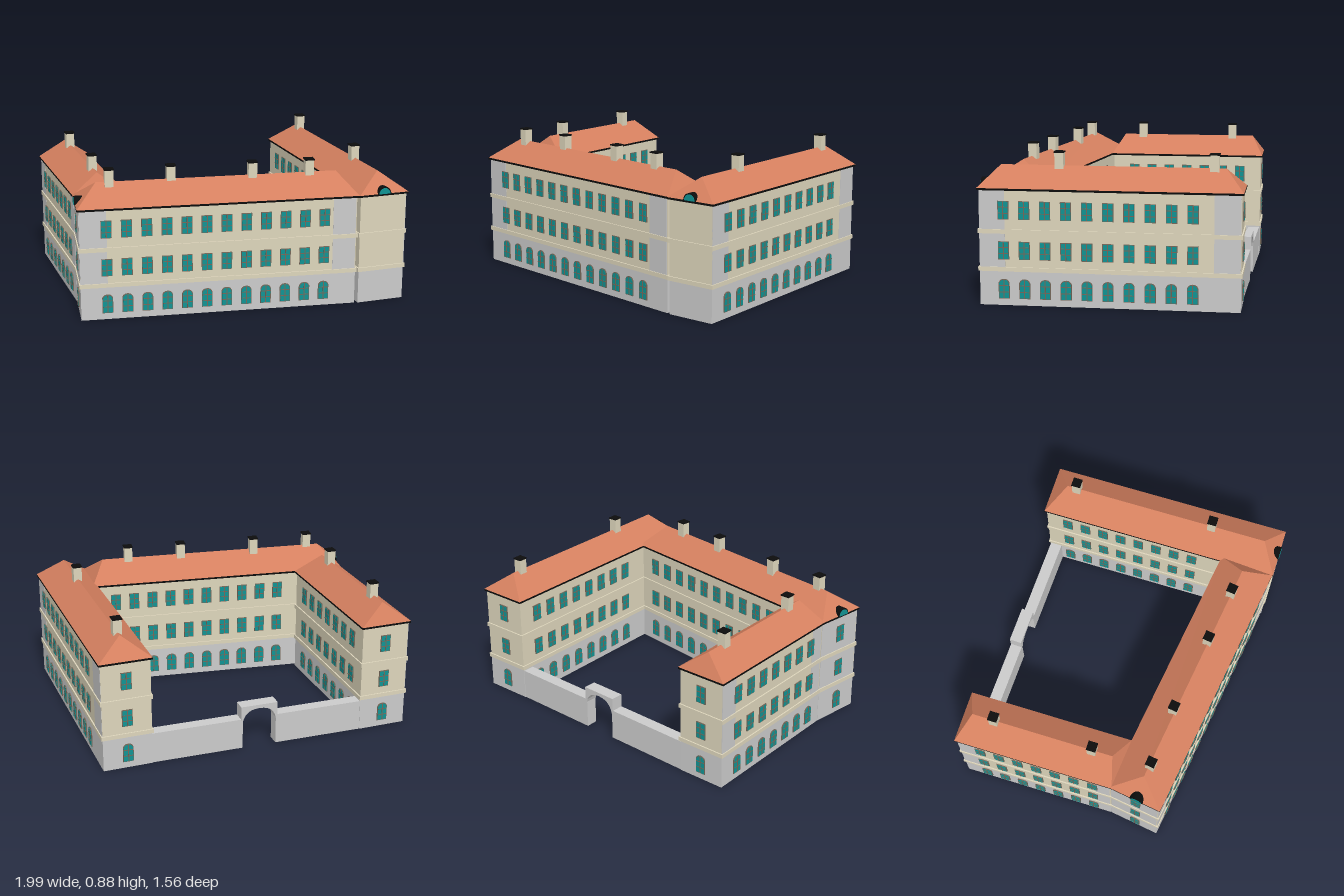
import * as THREE from 'three';
import { mergeGeometries } from 'three/addons/utils/BufferGeometryUtils.js';

const mat = (color) => new THREE.MeshStandardMaterial({ color, flatShading: true });
const GREY = mat(0xcccccc), WALL = mat(0xded6bc), ROOF = mat(0xd5805f);
const BLACK = mat(0x0c0c0c), GLASS = mat(0x109494), FRAME = mat(0x75685a);

const WALL_TOP = 0.67, EAVES = 0.682, RIDGE = 0.8;
const ROWS = [[0.04, 0.155, true], [0.27, 0.375, false], [0.503, 0.61, false]];

function add(parent, name, geo, material) {
  const m = new THREE.Mesh(geo, material);
  m.name = name;
  parent.add(m);
  return m;
}

function box(w, h, d, x, y, z) {
  return new THREE.BoxGeometry(w, h, d).translate(x, y, z);
}

// Upright prism over a plan outline of [x, z] corners
function prism(plan, y0, y1) {
  const shape = new THREE.Shape(plan.map(([x, z]) => new THREE.Vector2(x, -z)));
  return new THREE.ExtrudeGeometry(shape, { depth: y1 - y0, bevelEnabled: false })
    .rotateX(-Math.PI / 2).translate(0, y0, 0);
}

// Move every edge of a convex plan outward by d
function grow(plan, d) {
  const n = plan.length;
  const normal = (i) => {
    const [a, b] = [plan[i], plan[(i + 1) % n]];
    const l = Math.hypot(b[0] - a[0], b[1] - a[1]);
    return [-(b[1] - a[1]) / l, (b[0] - a[0]) / l];
  };
  return plan.map(([x, z], i) => {
    const p = normal((i + n - 1) % n), q = normal(i);
    const k = d / (1 + p[0] * q[0] + p[1] * q[1]);
    return [x + k * (p[0] + q[0]), z + k * (p[1] + q[1])];
  });
}

// Hip roof over four corners (SW, SE, NE, NW) and a two-point ridge
function hipRoof(plan, ridge, alongX) {
  const [sw, se, ne, nw] = plan.map(([x, z]) => [x, EAVES, z]);
  const [p, q] = ridge.map(([x, z]) => [x, RIDGE, z]);
  // alongX: p west, q east; otherwise p north, q south
  const faces = alongX
    ? [[sw, se, q, p], [se, ne, q], [ne, nw, p, q], [nw, sw, p]]
    : [[sw, se, q], [se, ne, p, q], [ne, nw, p], [nw, sw, q, p]];
  const pos = [];
  for (const f of faces)
    for (let i = 1; i < f.length - 1; i++) pos.push(...f[0], ...f[i], ...f[i + 1]);
  const geo = new THREE.BufferGeometry();
  geo.setAttribute('position', new THREE.Float32BufferAttribute(pos, 3));
  geo.computeVertexNormals();
  return geo;
}

// Window pane outline, with a segmental head if arched
function pane(x, y0, y1, w, arched, depth) {
  const s = new THREE.Shape();
  const h = w / 2, spring = arched ? y1 - 0.022 : y1;
  s.moveTo(x - h, y0);
  s.lineTo(x + h, y0);
  s.lineTo(x + h, spring);
  if (arched) s.quadraticCurveTo(x + h * 0.8, y1, x, y1).quadraticCurveTo(x - h * 0.8, y1, x - h, spring);
  else s.lineTo(x - h, spring);
  return new THREE.ExtrudeGeometry(s, { depth, bevelEnabled: false, curveSegments: 3 });
}

// Windows and grey end panels on the wall from a to b (left to right seen from outside)
function facade(parent, name, a, b, { start, step = 0.12, count, panels = [] }) {
  const g = new THREE.Group();
  g.name = name;
  g.position.set(a[0], 0, a[1]);
  g.rotation.y = Math.atan2(a[1] - b[1], b[0] - a[0]);
  parent.add(g);
  const frames = [], glass = [];
  for (let i = 0; i < count; i++) {
    const x = start + i * step;
    for (const [y0, y1, arched] of ROWS) {
      frames.push(pane(x, y0, y1, 0.064, arched, 0.006));
      glass.push(pane(x, y0 + 0.004, y1 - 0.004, 0.056, arched, 0.008));
      const h = y1 - y0;
      frames.push(box(0.006, h - 0.008, 0.01, x, (y0 + y1) / 2, 0.005).toNonIndexed());
      for (const t of [0.34, 0.67])
        frames.push(box(0.056, 0.005, 0.01, x, y0 + h * t, 0.005).toNonIndexed());
    }
  }
  add(g, 'windowFrames', mergeGeometries(frames), FRAME);
  add(g, 'windowGlass', mergeGeometries(glass), GLASS);
  for (const [s0, s1] of panels)
    add(g, 'cornerPanel', box(s1 - s0, WALL_TOP - 0.2, 0.004, (s0 + s1) / 2, (WALL_TOP + 0.2) / 2, 0), GREY);
}

// One range: plinth storey, upper storeys, bands, eaves and roof
function wing(parent, name, eaves, ridge, alongX) {
  const g = new THREE.Group();
  g.name = name;
  parent.add(g);
  const walls = grow(eaves, -0.011);
  add(g, 'groundStorey', prism(walls, 0, 0.2), GREY);
  add(g, 'upperStoreys', prism(walls, 0.2, WALL_TOP), WALL);
  for (const y of [0.2, 0.42]) add(g, 'stringCourse', prism(grow(walls, 0.008), y, y + 0.025), WALL);
  add(g, 'eaves', prism(eaves, WALL_TOP, EAVES), BLACK);
  add(g, 'roof', hipRoof(eaves, ridge, alongX), ROOF);
  return { g, walls };
}

// Half-round dormer facing along angle
function dormer(parent, x, z, angle) {
  const g = new THREE.Group();
  g.name = 'dormer';
  g.position.set(x, EAVES, z);
  g.rotation.y = angle;
  parent.add(g);
  const half = (r, d) => new THREE.ExtrudeGeometry(
    new THREE.Shape().absarc(0, 0, r, 0, Math.PI), { depth: d, bevelEnabled: false, curveSegments: 8 });
  add(g, 'dormerHood', half(0.043, 0.07).translate(0, 0, -0.07), BLACK);
  add(g, 'dormerGlass', half(0.036, 0.003), GLASS);
}

export function createModel() {
  const root = new THREE.Group();
  root.name = 'courtyardBuilding';

  // Three ranges around the courtyard
  const south = wing(root, 'southRange',
    [[-1, 0.53], [0.67, 0.77], [0.7, 0.43], [-0.95, 0.195]], [[-0.85, 0.385], [0.59, 0.585]], true);
  const east = wing(root, 'eastRange',
    [[0.67, 0.775], [0.99, 0.775], [0.99, -0.75], [0.67, -0.75]], [[0.83, -0.64], [0.83, 0.665]], false);
  const west = wing(root, 'westRange',
    [[-0.952, 0.215], [-0.63, 0.24], [-0.63, -0.783], [-0.952, -0.783]], [[-0.79, -0.71], [-0.79, 0.17]], false);

  // Facades
  const [s0, s1, s2, s3] = south.walls;
  facade(south.g, 'streetFront', s0, s1, { start: 0.157, step: 0.119, count: 12, panels: [[0, 0.16], [1.52, 1.66]] });
  facade(south.g, 'courtFront', s2, s3, { start: 0.135, count: 10 });
  facade(south.g, 'endFront', s3, s0, { start: 0.165, count: 1, panels: [[0, 0.31]] });
  const [e0, e1, e2, e3] = east.walls;
  facade(east.g, 'outerFront', e1, e2, { start: 0.142, step: 0.121, count: 10, panels: [[0, 0.15], [1.35, 1.5]] });
  facade(east.g, 'endFront', e2, e3, { start: 0.15, count: 1 });
  facade(east.g, 'courtFront', e3, e0, { start: 0.14, count: 8 });
  const [, w1, w2, w3] = west.walls;
  facade(west.g, 'courtFront', w1, w2, { start: 0.14, count: 7 });
  facade(west.g, 'endFront', w2, w3, { start: 0.15, count: 1 });
  facade(west.g, 'outerFront', w3, west.walls[0], { start: 0.14, count: 7, panels: [[0, 0.12], [0.88, 0.97]] });

  // Roof dormers
  dormer(root, 0.83, 0.778, 0);
  dormer(root, -0.982, 0.375, -1.72);

  // Chimneys: x, z, turn
  const turn = -0.143;
  for (const [x, z, r] of [[-0.79, -0.57, 0], [-0.79, 0.045, 0], [0.83, -0.575, 0], [0.83, 0.32, 0],
    [-0.775, 0.405, turn], [-0.405, 0.435, turn], [0.08, 0.51, turn], [0.425, 0.56, turn]]) {
    const c = new THREE.Group();
    c.name = 'chimney';
    c.position.set(x, 0, z);
    c.rotation.y = r;
    add(c, 'stack', box(0.052, 0.145, 0.052, 0, 0.8025, 0), WALL);
    add(c, 'cap', box(0.058, 0.008, 0.058, 0, 0.879, 0), BLACK);
    root.add(c);
  }

  // Courtyard wall with arched gate
  const yard = new THREE.Group();
  yard.name = 'courtyardWall';
  root.add(yard);
  const zAt = (x) => -0.732 + (x + 0.63) * 0.026;
  const wallPart = (a, b) => add(yard, 'wall', prism(
    [[a, zAt(a) + 0.037], [b, zAt(b) + 0.037], [b, zAt(b) - 0.037], [a, zAt(a) - 0.037]], 0, 0.19), GREY);
  wallPart(-0.66, -0.09);
  wallPart(0.12, 0.7);
  const arch = new THREE.Shape();
  arch.moveTo(-0.115, 0.17);
  arch.lineTo(-0.105, 0.17);
  arch.quadraticCurveTo(-0.09, 0.25, 0, 0.25).quadraticCurveTo(0.09, 0.25, 0.105, 0.17);
  arch.lineTo(0.115, 0.17);
  arch.lineTo(0.115, 0.272);
  arch.lineTo(-0.115, 0.272);
  const gate = add(yard, 'gateArch', new THREE.ExtrudeGeometry(arch,
    { depth: 0.078, bevelEnabled: false, curveSegments: 6 }).translate(0, 0, -0.039), GREY);
  gate.position.set(0.015, 0, zAt(0.015));
  gate.rotation.y = -0.026;
  return root;
}
